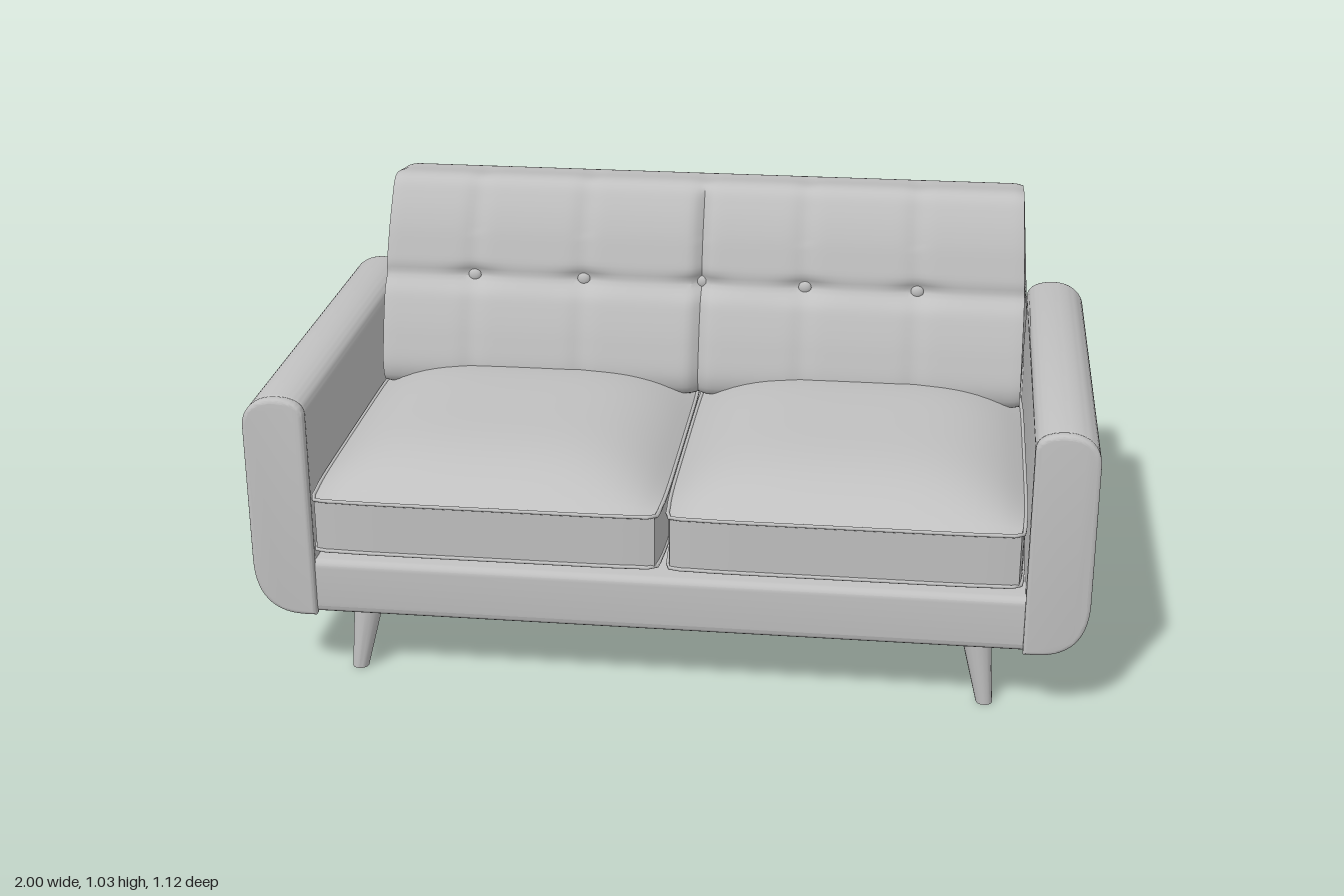
import * as THREE from 'three';
import { toCreasedNormals } from 'three/addons/utils/BufferGeometryUtils.js';
import { RoundedBoxGeometry } from 'three/addons/geometries/RoundedBoxGeometry.js';

const fabric = new THREE.MeshStandardMaterial({ color: 0xc0c0c0 });
fabric.name = 'grey upholstery';

const BUTTONS = [-0.6, -0.31, 0, 0.27, 0.56];
const bump = (d, width) => Math.exp(-((d / width) ** 2));

function part(name, geometry, x = 0, y = 0, z = 0) {
  const mesh = new THREE.Mesh(geometry, fabric);
  mesh.name = name;
  mesh.position.set(x, y, z);
  return mesh;
}

// Outline of one arm, from the underside round to its inner face, ending at yEnd
function armOutline(yEnd) {
  const path = new THREE.Path();
  path.moveTo(0.85, 0.17);
  path.lineTo(0.88, 0.17);
  path.bezierCurveTo(0.96, 0.17, 1, 0.22, 1, 0.31);
  path.lineTo(1, 0.66);
  path.bezierCurveTo(1, 0.71, 0.96, 0.733, 0.92, 0.733);
  path.bezierCurveTo(0.88, 0.733, 0.85, 0.72, 0.85, 0.69);
  path.lineTo(0.85, yEnd);
  return path.getPoints(14);
}

const mirrored = (points) => points.map((p) => new THREE.Vector2(-p.x, p.y)).reverse();

// Extrudes an outline from z0 to z1 with rounded rims inside the outline
function slab(points, z0, z1, bevel) {
  const geo = new THREE.ExtrudeGeometry(new THREE.Shape(points), {
    depth: z1 - z0 - 2 * bevel, bevelThickness: bevel, bevelSize: bevel,
    bevelOffset: -bevel, bevelSegments: 4,
  });
  geo.translate(0, 0, z0 + bevel);
  return toCreasedNormals(geo, 0.5);
}

// Domed cushion with a flat band round its sides
function cushionGeometry(w, d) {
  const geo = new THREE.BoxGeometry(2, 2, 2, 28, 4, 28);
  const p = geo.attributes.position;
  for (let i = 0; i < p.count; i++) {
    const u = p.getX(i), h = p.getY(i), v = p.getZ(i);
    const dome = (1 - u ** 4) * (1 - v ** 4);
    const y = 0.425 + 0.065 * h + (h > 0.99 ? 0.09 : h < -0.99 ? -0.05 : 0) * dome;
    p.setXYZ(i, (w / 2) * u * (1 - 0.03 * v ** 8), y, (d / 2) * v * (1 - 0.02 * u ** 8));
  }
  return toCreasedNormals(geo, 0.5);
}

// Welt running round the cushion edge
function pipingGeometry(w, d) {
  const points = [];
  const add = (u, v) => points.push(new THREE.Vector3(
    (w / 2) * u * (1 - 0.03 * v ** 8), 0, (d / 2) * v * (1 - 0.02 * u ** 8)));
  for (let side = 0; side < 4; side++) {
    for (let k = 0; k < 16; k++) {
      const t = -1 + k / 8;
      add(...[[t, 1], [1, -t], [-t, -1], [-1, t]][side]);
    }
  }
  return new THREE.TubeGeometry(new THREE.CatmullRomCurve3(points, true), 128, 0.005, 6, true);
}

// Tufted backrest: a closed side profile swept across x
function backrestGeometry() {
  const profile = [
    [-0.555, 0.52], [-0.555, 0.62], [-0.554, 0.8], [-0.55, 0.96], [-0.545, 0.99],
    [-0.525, 1.007], [-0.45, 1.02], [-0.365, 1.03], [-0.338, 1.02], [-0.31, 0.98],
    [-0.28, 0.915], [-0.245, 0.8], [-0.212, 0.73], [-0.18, 0.64], [-0.162, 0.55],
    [-0.18, 0.51], [-0.35, 0.51],
  ].map(([z, y]) => new THREE.Vector3(0, y, z));
  const nx = 130, ny = 140;
  const loop = new THREE.CatmullRomCurve3(profile, true).getSpacedPoints(ny);
  const geo = new THREE.PlaneGeometry(2, 2, nx, ny);
  const p = geo.attributes.position;
  for (let i = 0; i < p.count; i++) {
    const column = i % (nx + 1);
    const q = loop[Math.floor(i / (nx + 1))];
    const x = p.getX(i) * 0.847;
    // rounded ends, closed at the last column
    const e = Math.max(0, (Math.abs(x) - 0.807) / 0.04);
    const s = column === 0 || column === nx ? 0 : 1 - 0.06 * (1 - Math.sqrt(Math.max(0, 1 - e * e)));
    let y = 0.7 + (q.y - 0.7) * s;
    let z = -0.38 + (q.z + 0.38) * s;
    // pull the front in along the crease, the button columns and the middle seam
    const front = THREE.MathUtils.smoothstep(q.z, -0.37, -0.3) * (s > 0 ? 1 : 0);
    let near = 0, ribs = 0;
    for (const b of BUTTONS) {
      near += bump(x - b, 0.06);
      ribs += bump(x - b, 0.025);
    }
    z -= front * (bump(q.y - 0.785, 0.022) * (0.012 + 0.014 * near) + 0.006 * ribs + 0.016 * bump(x, 0.012));
    if (q.z > -0.5 && q.y > 0.9) y -= 0.004 * ribs * (s > 0 ? 1 : 0);
    const taper = 1 - 0.014 * THREE.MathUtils.smoothstep(y, 0.75, 1.03);
    p.setXYZ(i, x * taper, y, z);
  }
  return toCreasedNormals(geo, 0.7);
}

// Tapered round leg, slanting outwards and away from the middle
function legGeometry(lean, tilt) {
  const geo = new THREE.CylinderGeometry(0.037, 0.02, 0.18, 16);
  geo.translate(0, 0.09, 0);
  const p = geo.attributes.position;
  for (let i = 0; i < p.count; i++) {
    const drop = 1 - p.getY(i) / 0.18;
    p.setX(i, p.getX(i) + lean * drop);
    p.setZ(i, p.getZ(i) + tilt * drop);
  }
  geo.computeVertexNormals();
  return toCreasedNormals(geo, 0.6);
}

export function createModel() {
  const sofa = new THREE.Group();
  sofa.name = 'sofa';

  // frame: both arms and the seat base in one U, closed by a low back wall
  const half = armOutline(0.31);
  sofa.add(part('frame', slab([...half, ...mirrored(half)], -0.555, 0.507, 0.02)));
  sofa.add(part('backWall', new RoundedBoxGeometry(1.8, 0.3, 0.1, 3, 0.01), 0, 0.38, -0.505));

  // padded arm fronts
  const pad = armOutline(0.17);
  sofa.add(part('leftArmFront', slab(pad, 0.492, 0.523, 0.01)));
  sofa.add(part('rightArmFront', slab(mirrored(pad), 0.492, 0.523, 0.01)));

  // seat cushions with piping
  const w = 0.838, d = 0.9;
  const cushion = cushionGeometry(w, d), piping = pipingGeometry(w, d);
  for (const side of [1, -1]) {
    const seat = new THREE.Group();
    seat.name = side > 0 ? 'leftSeatCushion' : 'rightSeatCushion';
    seat.position.set(side * 0.424, 0, 0.1);
    seat.add(part('cushion', cushion), part('upperPiping', piping, 0, 0.49, 0),
      part('lowerPiping', piping, 0, 0.36, 0));
    sofa.add(seat);
  }

  // backrest and buttons
  sofa.add(part('backrest', backrestGeometry()));
  const button = new THREE.SphereGeometry(0.017, 16, 10);
  button.scale(1, 1, 0.6);
  for (const x of BUTTONS) {
    sofa.add(part('button', button, x, 0.785, x === 0 ? -0.282 : -0.268));
  }

  // legs
  for (const side of [1, -1]) {
    const name = side > 0 ? 'left' : 'right';
    sofa.add(part(name + 'FrontLeg', legGeometry(side * 0.028, 0.014), side * 0.74, 0, 0.432));
    sofa.add(part(name + 'BackLeg', legGeometry(side * 0.028, -0.014), side * 0.74, 0, -0.46));
  }
  return sofa;
}
